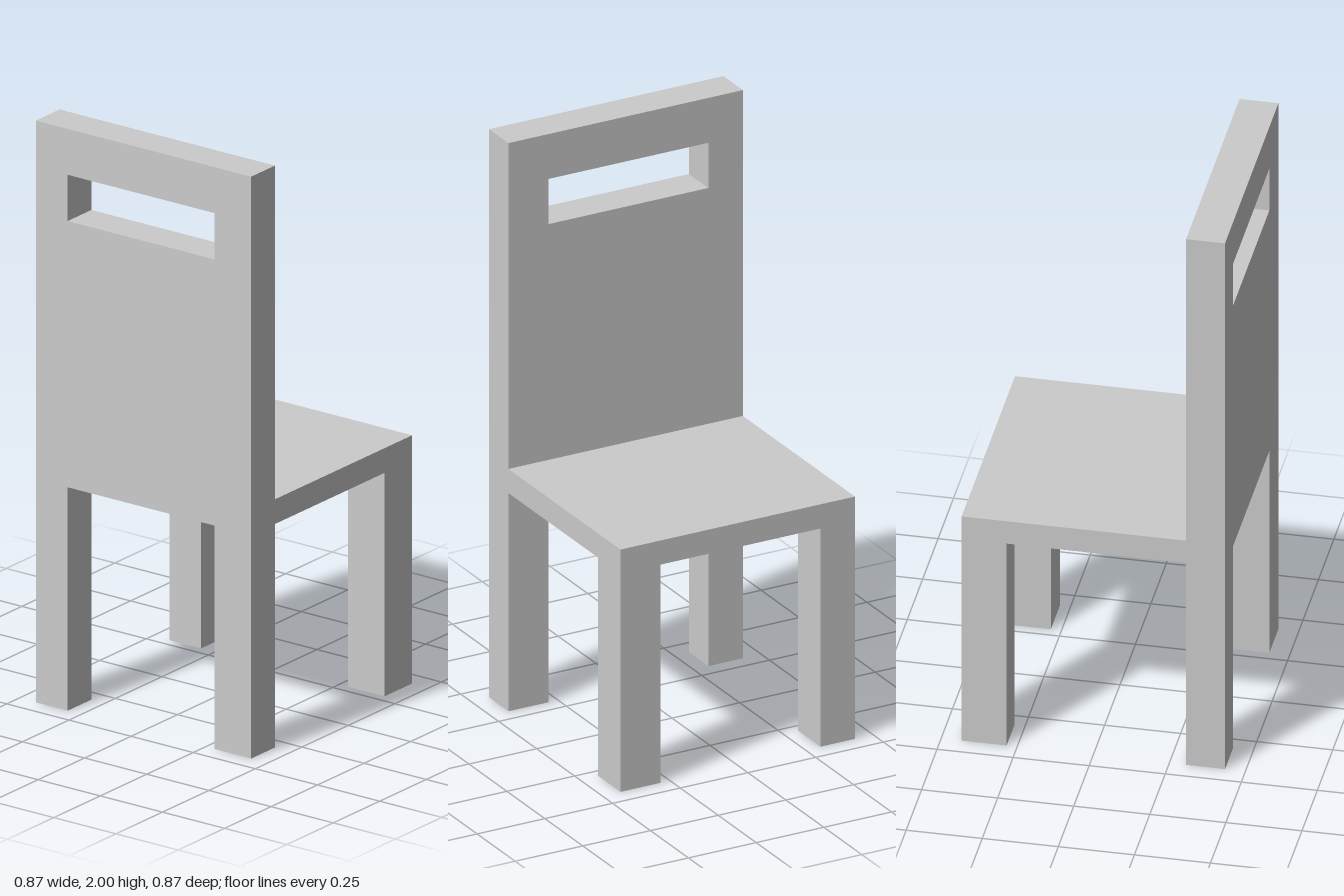
import * as THREE from 'three';

// Shared dimensions
const HALF = 0.433;       // half of the square footprint
const INNER_LOW = -0.305; // inner edge of the right legs and slot
const INNER_HIGH = 0.285; // inner edge of the left legs and slot
const BACK_Z = 0.305;     // inner face of the backrest
const FRONT_Z = -0.285;   // inner face of the legs under the seat edge
const SEAT_BOTTOM = 0.768;
const SEAT_TOP = 0.853;

const material = new THREE.MeshStandardMaterial({ color: 0xcccccc, flatShading: true });

// Box spanning two opposite corners
function block(name, [x0, y0, z0], [x1, y1, z1]) {
  const mesh = new THREE.Mesh(new THREE.BoxGeometry(x1 - x0, y1 - y0, z1 - z0), material);
  mesh.position.set((x0 + x1) / 2, (y0 + y1) / 2, (z0 + z1) / 2);
  mesh.name = name;
  return mesh;
}

const points = (list) => list.map(([x, y]) => new THREE.Vector2(x, y));

export function createModel() {
  const chair = new THREE.Group();
  chair.name = 'chair';

  // Backrest and its two legs are one slab with a handle slot
  const outline = new THREE.Shape(points([
    [-HALF, 0], [INNER_LOW, 0], [INNER_LOW, SEAT_BOTTOM], [INNER_HIGH, SEAT_BOTTOM],
    [INNER_HIGH, 0], [HALF, 0], [HALF, 2], [-HALF, 2],
  ]));
  outline.holes.push(new THREE.Path(points([
    [INNER_LOW, 1.683], [INNER_LOW, 1.842], [INNER_HIGH, 1.842], [INNER_HIGH, 1.683],
  ])));
  const backrest = new THREE.Mesh(
    new THREE.ExtrudeGeometry(outline, { depth: HALF - BACK_Z, bevelEnabled: false }),
    material,
  );
  backrest.position.z = BACK_Z;
  backrest.name = 'backrestWithLegs';
  chair.add(backrest);

  // Seat
  chair.add(block('seat', [-HALF, SEAT_BOTTOM, -HALF], [HALF, SEAT_TOP, BACK_Z]));

  // Legs under the free edge of the seat
  chair.add(block('rightSeatLeg', [-HALF, 0, -HALF], [INNER_LOW, SEAT_BOTTOM, FRONT_Z]));
  chair.add(block('leftSeatLeg', [INNER_HIGH, 0, -HALF], [HALF, SEAT_BOTTOM, FRONT_Z]));

  return chair;
}
